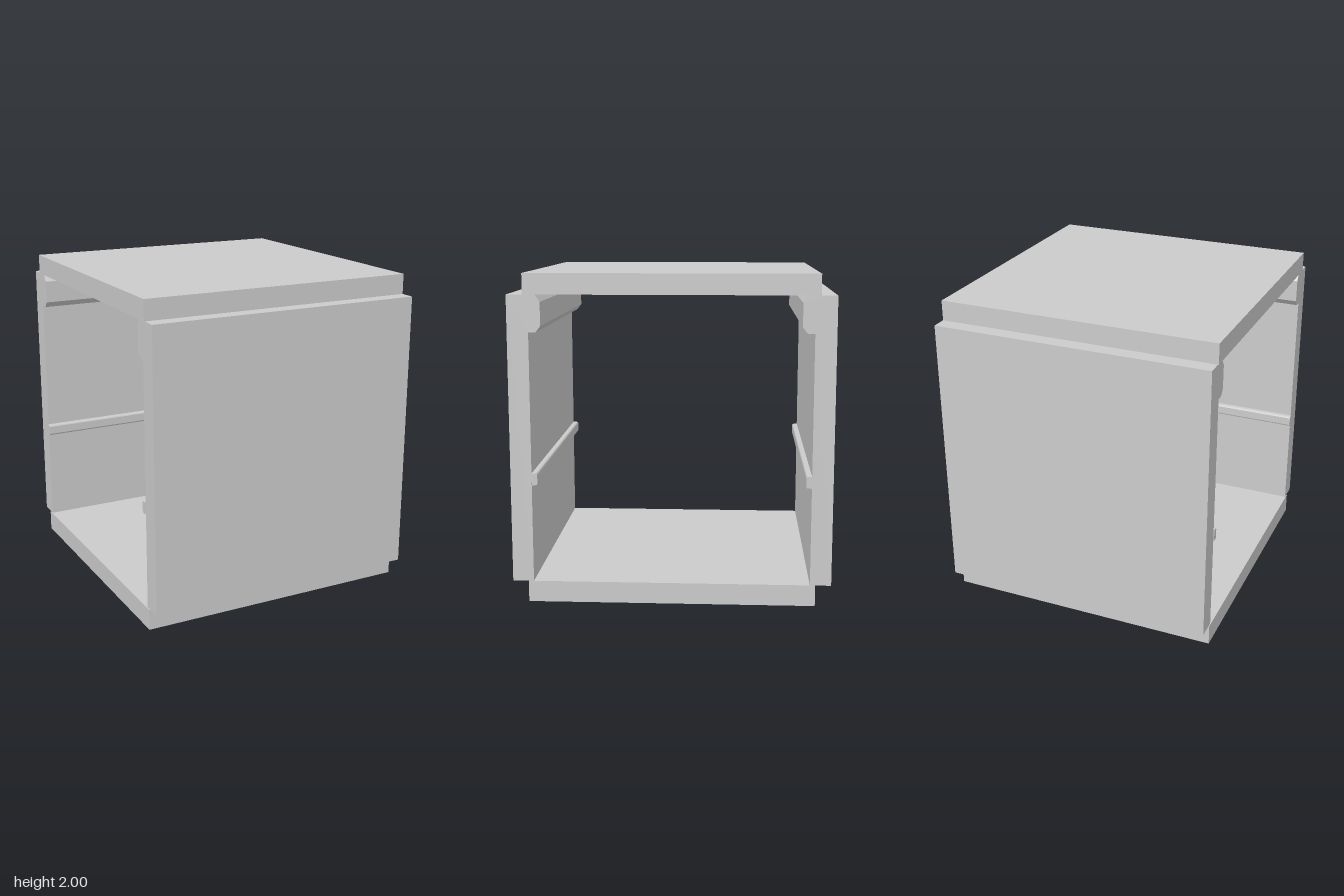
import * as THREE from 'three';

const material = new THREE.MeshStandardMaterial({ color: 0xcccccc, flatShading: true });

// Extrudes a [z, y] cross-section along x from x0 to x1
function prism(name, points, x0, x1) {
  const shape = new THREE.Shape(points.map(([z, y]) => new THREE.Vector2(-z, y)));
  const geometry = new THREE.ExtrudeGeometry(shape, { depth: x1 - x0, bevelEnabled: false });
  geometry.rotateY(Math.PI / 2);
  geometry.translate(x0, 0, 0);
  const mesh = new THREE.Mesh(geometry, material);
  mesh.name = name;
  return mesh;
}

const slab = (y0, y1) => [[-0.872, y0], [0.872, y0], [0.872, y1], [-0.872, y1]];

// Wall outline with the thick chamfered lip along its upper inner edge
const wall = [
  [0.968, 0.13], [0.968, 1.875], [0.797, 1.875], [0.768, 1.832],
  [0.768, 1.69], [0.797, 1.653], [0.84, 1.653], [0.84, 0.13],
];

// Small runner with rounded inner corners
const rail = [
  [0.84, 0.73], [0.84, 0.803], [0.817, 0.803], [0.81, 0.8], [0.806, 0.792],
  [0.806, 0.741], [0.81, 0.733], [0.817, 0.73],
];

export function createModel() {
  const group = new THREE.Group();
  group.name = 'openBox';

  // Top and bottom panels
  group.add(prism('topPanel', slab(1.875, 2), -0.872, 0.87));
  group.add(prism('bottomPanel', slab(0, 0.13), -0.872, 0.87));

  // Front and back walls with their inner runners
  for (const [side, s] of [['front', 1], ['back', -1]]) {
    const mirror = (points) => points.map(([z, y]) => [z * s, y]);
    group.add(prism(side + 'Wall', mirror(wall), -0.867, 0.87));
    group.add(prism(side + 'Rail', mirror(rail), -0.872, 0.868));
  }
  return group;
}
